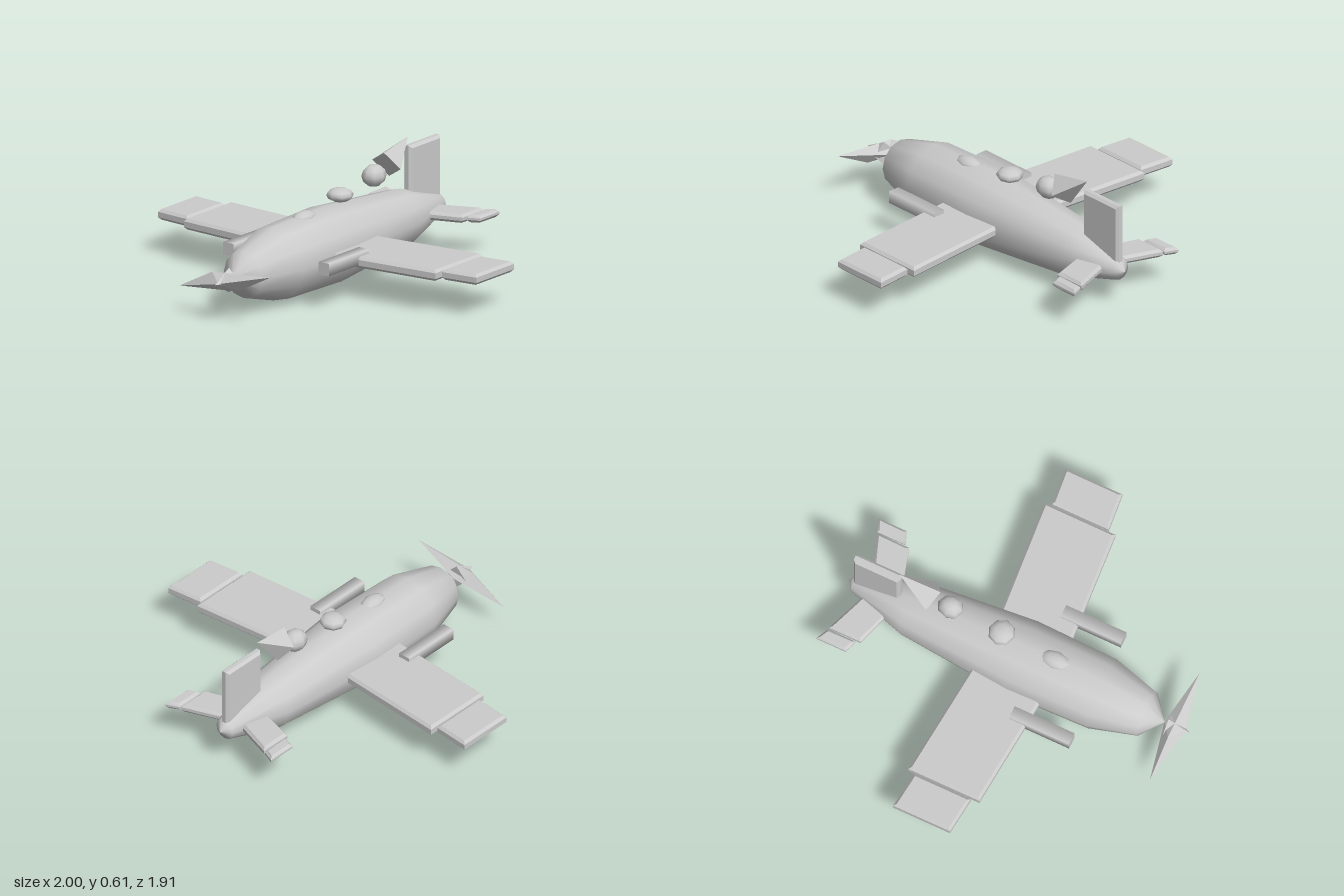
import * as THREE from 'three';

const AXIS_Y = 0.21; // height of the fuselage centre line

export function createModel() {
  const model = new THREE.Group();
  model.name = 'airplane';
  const smooth = new THREE.MeshStandardMaterial({ color: 0xcccccc });
  const flat = new THREE.MeshStandardMaterial({ color: 0xcccccc, flatShading: true });

  const add = (name, geometry, material, x = 0, y = 0, z = 0) => {
    const mesh = new THREE.Mesh(geometry, material);
    mesh.name = name;
    mesh.position.set(x, y, z);
    model.add(mesh);
    return mesh;
  };

  // Bevelled plate from an outline; depth runs along z and is centred
  const plate = (points, depth, bevel) => {
    const shape = new THREE.Shape(points.map(([x, y]) => new THREE.Vector2(x, y)));
    return new THREE.ExtrudeGeometry(shape, {
      depth: depth - 2 * bevel, bevelEnabled: true, bevelSegments: 1,
      bevelThickness: bevel, bevelSize: bevel, bevelOffset: -bevel,
    }).translate(0, 0, bevel - depth / 2);
  };

  // Horizontal swept panel: inner and outer x, each with its rear and front z
  const panel = (name, side, xi, rearIn, frontIn, xo, rearOut, frontOut, y, thick) => {
    const outline = [[xi, -frontIn], [xo, -frontOut], [xo, -rearOut], [xi, -rearIn]]
      .map(([x, v]) => [x * side, v]);
    if (side < 0) outline.reverse();
    add(name, plate(outline, thick, 0.014).rotateX(-Math.PI / 2), flat, 0, y, 0);
  };

  // Fuselage, turned around the z axis
  const profile = [[0, -0.95], [0.055, -0.915], [0.148, -0.6], [0.203, 0.02],
    [0.192, 0.46], [0.122, 0.71], [0, 0.81]];
  const body = new THREE.LatheGeometry(profile.map(([r, z]) => new THREE.Vector2(r, z)), 12);
  add('fuselage', body.rotateX(Math.PI / 2), smooth, 0, AXIS_Y, 0);

  for (const side of [1, -1]) {
    const label = side > 0 ? 'left' : 'right';
    // Wings and tailplane, each with a separate tip
    panel(label + 'Wing', side, 0.12, -0.185, 0.207, 0.79, -0.242, 0.155, AXIS_Y, 0.058);
    panel(label + 'WingTip', side, 0.8, -0.205, 0.112, 1.0, -0.225, 0.092, AXIS_Y, 0.056);
    panel(label + 'Tailplane', side, 0.03, -0.84, -0.675, 0.28, -0.93, -0.752, AXIS_Y, 0.045);
    panel(label + 'TailTip', side, 0.288, -0.932, -0.775, 0.356, -0.962, -0.8, AXIS_Y, 0.04);

    // Square barrel beside the nose
    const barrel = new THREE.CylinderGeometry(0.046, 0.046, 0.335, 4)
      .rotateY(Math.PI / 4).rotateX(Math.PI / 2);
    add(label + 'Barrel', barrel, smooth, side * 0.3, 0.228, 0.268);
  }

  // Upright fin
  const fin = plate([[-0.92, 0.2], [-0.66, 0.2], [-0.66, 0.57], [-0.92, 0.57]], 0.05, 0.014);
  add('fin', fin.rotateY(-Math.PI / 2), flat);

  // Rounded parts along the spine: height, z and half sizes
  for (const [name, y, z, sx, sy, sz] of [
    ['windscreen', 0.39, 0.2, 0.05, 0.036, 0.085],
    ['pilotBody', 0.442, -0.1, 0.07, 0.036, 0.07],
    ['pilotHead', 0.477, -0.385, 0.06, 0.058, 0.07],
  ]) {
    add(name, new THREE.SphereGeometry(1, 8, 6).scale(sx, sy, sz), smooth, 0, y, z);
  }

  // Pointed scarf trailing upward behind the head
  const scarf = add('scarf', new THREE.ConeGeometry(0.085, 0.208, 4).rotateY(0.18),
    flat, 0, 0.5625, -0.58);
  scarf.quaternion.setFromUnitVectors(new THREE.Vector3(0, 1, 0),
    new THREE.Vector3(0, 0.505, -0.865).normalize());

  // Propeller: a stretched octahedron, sheared so the blades twist
  const blades = new THREE.OctahedronGeometry(1);
  blades.applyMatrix4(new THREE.Matrix4().set(
    0.287, -0.08, 0, 0,
    0.07, 0.038, 0, 0,
    0, 0, 0.058, 0,
    0, 0, 0, 1));
  add('propellerBlades', blades, flat, 0, AXIS_Y, 0.865);

  // Spinner
  add('spinner', new THREE.ConeGeometry(0.064, 0.12, 4).rotateX(Math.PI / 2),
    flat, 0, AXIS_Y, 0.89);

  return model;
}
